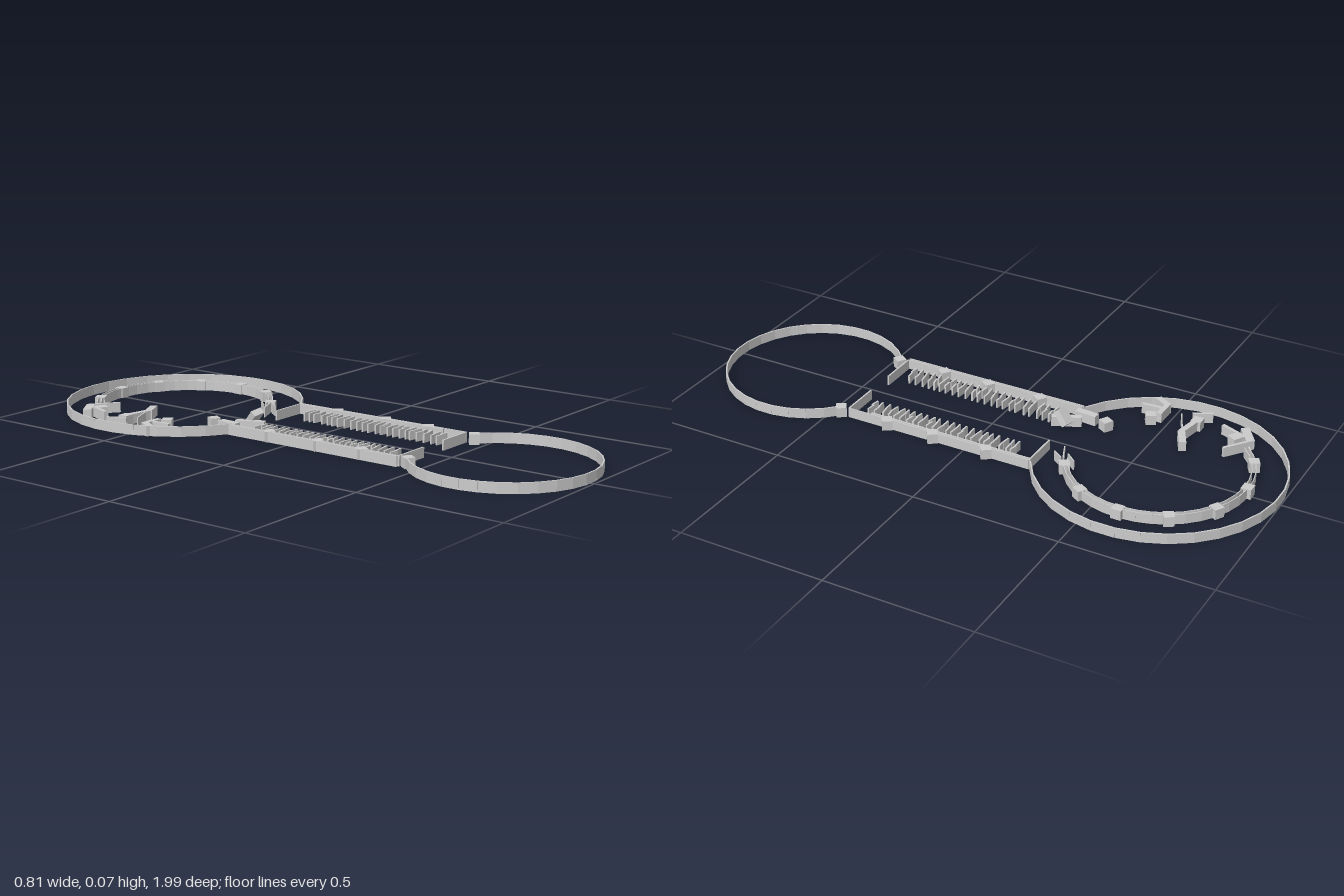
import * as THREE from 'three';

const H = 0.034;
const mat = new THREE.MeshStandardMaterial({ color: 0xcccccc, flatShading: true, side: THREE.DoubleSide });

function block(name, w, h, d, x, y, z, turn = 0) {
  const m = new THREE.Mesh(new THREE.BoxGeometry(w, h, d), mat);
  m.name = name;
  m.position.set(x, y, z);
  m.rotation.y = turn;
  return m;
}

// Upright slab running between two plan points
function slab(name, x1, z1, x2, z2, t, h = H) {
  const len = Math.hypot(x2 - x1, z2 - z1);
  return block(name, len, h, t, (x1 + x2) / 2, h / 2, (z1 + z2) / 2, -Math.atan2(z2 - z1, x2 - x1));
}

// Faceted wall following a circle; angle 0 points to the back, positive toward +x
function ringWall(name, cz, r, from, to, n, t) {
  const g = new THREE.Group();
  g.name = name;
  const at = (i) => {
    const a = THREE.MathUtils.degToRad(from + (to - from) * i / n);
    return [Math.sin(a) * r, cz - Math.cos(a) * r];
  };
  for (let i = 0; i < n; i++) g.add(slab(name + 'Panel', ...at(i), ...at(i + 1), t));
  return g;
}

function seeded(seed) {
  return () => (seed = (seed * 16807) % 2147483647) / 2147483647;
}

export function createModel() {
  const model = new THREE.Group();
  model.name = 'ruinedEnclosure';
  const backZ = -0.595, frontZ = 0.69;

  // Outer ring at the back and smaller ring at the front, open toward the passage
  model.add(ringWall('backOuterWall', backZ, 0.402, -151.875, 151.875, 27, 0.005));
  model.add(ringWall('frontRoundWall', frontZ, 0.298, 39.375, 320.625, 25, 0.005));

  // Inner ring: two thin skins, standing only on the unbroken side
  for (const r of [0.287, 0.3]) model.add(ringWall('innerRingWall', backZ, r, -46, 156, 21, 0.003));

  // Posts every thirty degrees of the inner ring
  for (let d = -150; d <= 150; d += 30) {
    const a = THREE.MathUtils.degToRad(d);
    model.add(block('ringPost', 0.034, H, 0.034, Math.sin(a) * 0.296, H / 2, backZ - Math.cos(a) * 0.296, -a));
  }

  // Passage side walls, posts and end walls
  model.add(slab('leftPassageWall', 0.178, -0.235, 0.178, 0.35, 0.006));
  model.add(slab('leftPassageWall', 0.188, -0.235, 0.188, 0.43, 0.004));
  model.add(slab('rightPassageWall', -0.186, -0.235, -0.186, 0.43, 0.003));
  model.add(slab('rightPassageWall', -0.196, -0.235, -0.196, 0.43, 0.004));
  for (const z of [-0.08, 0.115, 0.285, 0.46]) {
    model.add(block('passagePost', 0.034, H, 0.034, 0.188, H / 2, z, 0.6));
    model.add(block('passagePost', 0.034, H, 0.034, -0.18, H / 2, z, -0.6));
  }
  model.add(slab('passageEndWall', 0.05, -0.235, 0.188, -0.235, 0.006));
  for (const s of [-1, 1]) model.add(slab('passageEndWall', s * 0.054, 0.43, s * 0.188, 0.43, 0.006));

  // Rows of uneven split slabs on both sides of the aisle
  const rnd = seeded(71);
  for (const s of [-1, 1]) {
    const row = new THREE.Group();
    row.name = s > 0 ? 'leftSlabRow' : 'rightSlabRow';
    for (let i = 0; i < 23; i++) {
      const z = -0.157 + i * 0.0242;
      for (const k of [-1, 1]) {
        row.add(block('rowSlab', 0.03, 0.03, 0.006, s * 0.126 + k * 0.0145, 0.015,
          z + (rnd() - 0.5) * 0.008, (rnd() - 0.5) * 0.4));
      }
    }
    model.add(row);
  }

  // Collapsed wall pieces: x1, z1, x2, z2, thickness
  const rubble = new THREE.Group();
  rubble.name = 'rubble';
  const pieces = [
    [-0.32, -0.75, -0.255, -0.795, 0.028], [-0.26, -0.8, -0.175, -0.735, 0.01],
    [-0.27, -0.77, -0.305, -0.68, 0.012], [-0.22, -0.805, -0.195, -0.82, 0.004],
    [-0.285, -0.593, -0.205, -0.578, 0.02], [-0.205, -0.578, -0.143, -0.61, 0.024],
    [-0.355, -0.625, -0.325, -0.565, 0.01], [-0.305, -0.535, -0.23, -0.57, 0.004],
    [-0.365, -0.425, -0.335, -0.475, 0.022], [-0.345, -0.47, -0.27, -0.47, 0.018],
    [-0.31, -0.46, -0.305, -0.395, 0.012], [-0.16, -0.3, -0.165, -0.225, 0.026],
    [-0.13, -0.26, -0.09, -0.17, 0.02],
    [0.06, -0.295, 0.12, -0.32, 0.004], [0.095, -0.325, 0.125, -0.36, 0.004], [0.1, -0.28, 0.125, -0.315, 0.004],
  ];
  for (const p of pieces) rubble.add(slab('fallenPiece', ...p));

  // Toppled post resting on the debris
  const post = block('toppledPost', 0.042, 0.056, 0.022, -0.088, 0.042, -0.216);
  post.rotation.set(0.75, 0, 0.22);
  rubble.add(post);
  model.add(rubble);
  return model;
}
